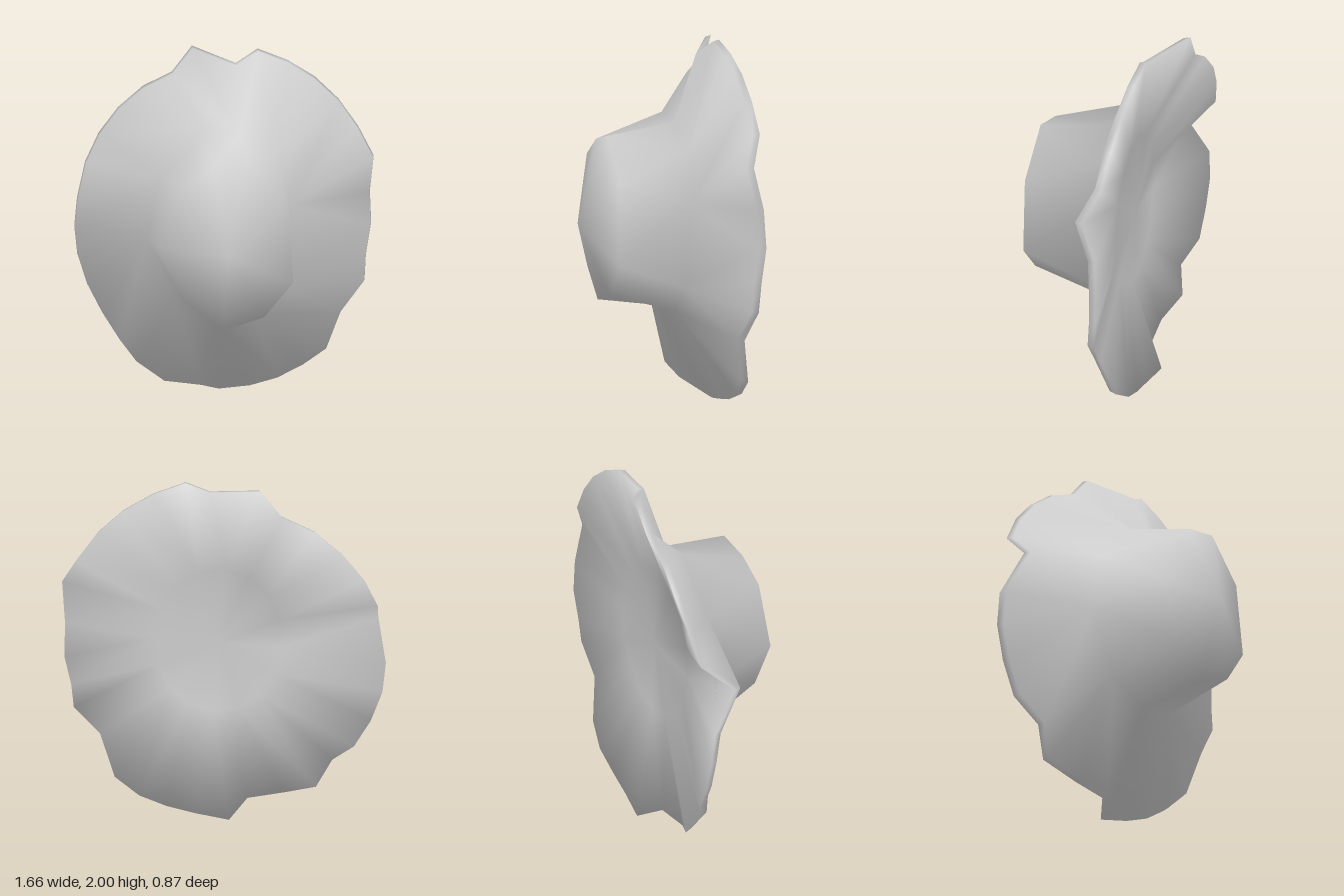
import * as THREE from 'three';

const CENTRE_Y = 1.07;

// Ragged rim of the brim, counter-clockwise from the model's left: x, y, z
const RIM = [
  [0.83, 1.03, -0.25], [0.815, 1.22, -0.24], [0.82, 1.43, -0.18], [0.74, 1.58, -0.25],
  [0.63, 1.73, -0.26], [0.5, 1.85, -0.27], [0.35, 1.94, -0.28], [0.19, 2.0, -0.29],
  [0.07, 1.93, -0.25], [-0.16, 2.0, -0.41], [-0.27, 1.86, -0.41], [-0.43, 1.78, -0.42],
  [-0.57, 1.66, -0.435], [-0.68, 1.52, -0.43], [-0.76, 1.36, -0.41], [-0.8, 1.2, -0.24],
  [-0.83, 1.0, -0.37], [-0.82, 0.83, -0.385], [-0.77, 0.65, -0.38], [-0.69, 0.48, -0.37],
  [-0.59, 0.34, -0.29], [-0.5, 0.19, -0.33], [-0.34, 0.1, -0.25], [-0.13, 0.07, -0.25],
  [-0.02, 0.0, -0.35], [0.16, 0.03, -0.32], [0.32, 0.08, -0.31], [0.47, 0.16, -0.31],
  [0.6, 0.27, -0.28], [0.67, 0.52, -0.22], [0.8, 0.7, -0.23], [0.805, 0.85, -0.24],
];

// Uneven outlines of the crown: x, y
const CROWN_TOP = [
  [0.31, 1.29], [0.11, 1.52], [-0.08, 1.48], [-0.24, 1.38], [-0.36, 1.07],
  [-0.21, 0.76], [-0.02, 0.62], [0.19, 0.69], [0.34, 0.88],
];
const CROWN_BASE = [
  [0.35, 1.18], [0.28, 1.45], [0.08, 1.57], [-0.11, 1.6], [-0.34, 1.34],
  [-0.42, 1.0], [-0.28, 0.66], [-0.05, 0.54], [0.17, 0.57], [0.3, 0.72],
];

// Lay an outline on a tilted plane
const onPlane = (outline, z, slopeX, slopeY) =>
  outline.map(([x, y]) => [x, y, z + slopeX * x + slopeY * (y - CENTRE_Y)]);

// Smooth normals in which every face counts the same, so thin edges look rounded
function softNormals(points, index) {
  const normals = points.map(() => new THREE.Vector3());
  const face = new THREE.Triangle();
  const normal = new THREE.Vector3();
  for (let i = 0; i < index.length; i += 3) {
    const corners = index.slice(i, i + 3);
    face.set(...corners.map(k => points[k])).getNormal(normal);
    corners.forEach(k => normals[k].add(normal));
  }
  return normals.flatMap(v => v.normalize().toArray());
}

// Skin a series of rings; shorter rings share each point among several rim points
function loft(rings) {
  const n = RIM.length, starts = [], points = [], index = [];
  for (const ring of rings) {
    starts.push(points.length);
    ring.forEach(p => points.push(new THREE.Vector3(...p)));
  }
  const at = (r, i) => starts[r] + Math.floor((i % n) * rings[r].length / n);
  for (let r = 0; r < rings.length - 1; r++) {
    for (let i = 0; i < n; i++) {
      const a = at(r, i), b = at(r + 1, i), c = at(r + 1, i + 1), d = at(r, i + 1);
      if (b !== c) index.push(a, b, c);
      if (a !== d) index.push(a, c, d);
    }
  }
  const geometry = new THREE.BufferGeometry().setFromPoints(points);
  geometry.setIndex(index);
  geometry.setAttribute('normal',
    new THREE.Float32BufferAttribute(softNormals(points, index), 3));
  return geometry;
}

export function createModel() {
  const group = new THREE.Group();
  group.name = 'hat';

  // Pointed crown
  const apex = [[0, 1.05, 0.43]];
  const crownTop = onPlane(CROWN_TOP, 0.305, 0.05, -0.022);
  const crownBase = onPlane(CROWN_BASE, -0.072, 0.04, -0.038);

  // Front edge of the thin brim
  const frontRim = RIM.map(([x, y, z]) =>
    [x * 0.99, CENTRE_Y + (y - CENTRE_Y) * 0.99, z + 0.035]);

  // Oval floor of the hollow back
  const backFloor = Array.from({ length: 16 }, (_, i) => {
    const a = (i + 0.25) / 16 * Math.PI * 2;
    return [0.025 + 0.335 * Math.cos(a), 1.05 + 0.43 * Math.sin(a), -0.195];
  });
  const floorCentre = [[0.025, 1.05, -0.195]];

  // One smooth closed shell: crown, brim, edge, hollow back
  const shell = new THREE.Mesh(
    loft([apex, crownTop, crownBase, frontRim, RIM, backFloor, floorCentre]),
    new THREE.MeshStandardMaterial({ color: 0xcccccc }));
  shell.name = 'crownAndBrim';
  group.add(shell);
  return group;
}
